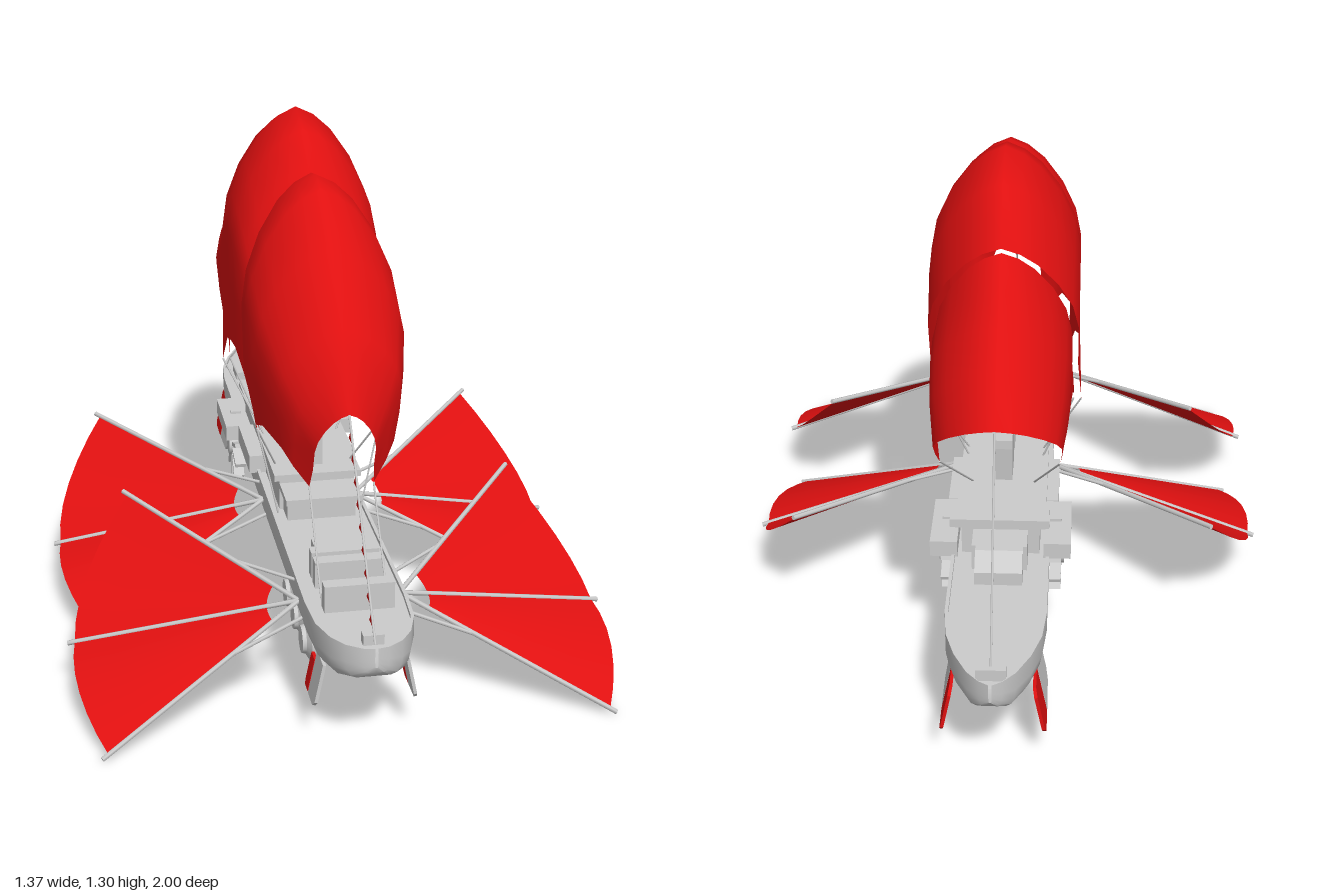
import * as THREE from 'three';
import { toCreasedNormals } from 'three/addons/utils/BufferGeometryUtils.js';

const grey = new THREE.MeshStandardMaterial({ color: 0xcccccc, side: THREE.DoubleSide });
const red = new THREE.MeshStandardMaterial({ color: 0xe01010, side: THREE.DoubleSide });
const V = (x, y, z) => new THREE.Vector3(x, y, z);

export function createModel() {
  const root = new THREE.Group();
  root.name = 'airship';

  const add = (name, geo, mat = grey, parent = root) => {
    const m = new THREE.Mesh(geo, mat);
    m.name = name;
    parent.add(m);
    return m;
  };
  // Box given by its extents
  const box = (name, x0, x1, y0, y1, z0, z1, mat) => {
    const m = add(name, new THREE.BoxGeometry(Math.abs(x1 - x0), y1 - y0, Math.abs(z1 - z0)), mat);
    m.position.set((x0 + x1) / 2, (y0 + y1) / 2, (z0 + z1) / 2);
    return m;
  };
  // Round rod between two points
  const rod = (name, a, b, r) => {
    const m = add(name, new THREE.CylinderGeometry(r, r, a.distanceTo(b), 6));
    m.position.copy(a).lerp(b, 0.5);
    m.quaternion.setFromUnitVectors(V(0, 1, 0), b.clone().sub(a).normalize());
    return m;
  };
  // Surface through rows of points
  const grid = (rows) => {
    const n = rows[0].length, idx = [];
    for (let i = 0; i < rows.length - 1; i++)
      for (let j = 0; j < n - 1; j++) {
        const a = i * n + j, b = a + n;
        idx.push(a, b, a + 1, b, b + 1, a + 1);
      }
    const g = new THREE.BufferGeometry().setFromPoints(rows.flat());
    g.setIndex(idx);
    g.computeVertexNormals();
    return g;
  };
  // Extruded side profile of [z, y] points, centred on x
  const sidePlate = (name, pts, width, x = 0, mat = grey) => {
    const g = new THREE.ExtrudeGeometry(new THREE.Shape(pts.map((p) => new THREE.Vector2(-p[0], p[1]))),
      { depth: width, bevelEnabled: false });
    g.translate(0, 0, -width / 2).rotateY(Math.PI / 2);
    const m = add(name, g, mat);
    m.position.x = x;
    return m;
  };

  // Hull: stations of [z, half width, bottom], with a low rim around the deck
  const stations = [[1, 0.004, 0.26], [0.995, 0.03, 0.245], [0.97, 0.067, 0.222], [0.93, 0.095, 0.207],
    [0.86, 0.118, 0.2], [0.75, 0.125, 0.2], [-0.7, 0.125, 0.2], [-0.8, 0.116, 0.2], [-0.88, 0.092, 0.203],
    [-0.95, 0.058, 0.215], [-0.985, 0.028, 0.24], [-1, 0.004, 0.26]];
  const half = [[0, 0], [0.6, 0], [0.82, 0.07], [0.95, 0.25], [1, 0.5], [1, 1], [0.93, 1]];
  const hullRows = stations.map(([z, w, b]) => {
    const side = half.map(([x, t]) => V(x * w, b + (0.31 - b) * t, z));
    side.push(V(0.93 * w, 0.3, z));
    return [...side, ...side.slice(1).reverse().map((p) => V(-p.x, p.y, p.z)), side[0].clone()];
  });
  add('hull', toCreasedNormals(grid(hullRows), 0.6));

  // Deck houses
  box('mainDeckHouse', -0.1, 0.1, 0.3, 0.385, -0.42, 0.22);
  box('upperDeck', -0.115, 0.115, 0.385, 0.402, -0.44, 0.23);
  box('frontStep', -0.09, 0.09, 0.3, 0.36, 0.22, 0.29);
  box('bridgeRoof', -0.1, 0.1, 0.36, 0.375, 0.22, 0.33);
  box('aftHouse', -0.07, 0.07, 0.3, 0.37, -0.5, -0.42);
  sidePlate('aftWedge', [[-0.48, 0.3], [-0.57, 0.3], [-0.57, 0.335], [-0.52, 0.37], [-0.48, 0.37]], 0.12);
  box('aftLookoutPost', -0.03, 0.03, 0.4, 0.42, -0.46, -0.43);
  box('aftLookout', -0.125, 0.125, 0.418, 0.44, -0.49, -0.415);

  // Funnels with a stepped, sloping top
  for (const z of [0.13, -0.01, -0.17])
    sidePlate('funnel', [[z + 0.045, 0.4], [z + 0.045, 0.49], [z + 0.03, 0.51], [z - 0.02, 0.515],
      [z - 0.02, 0.525], [z - 0.065, 0.525], [z - 0.065, 0.5], [z - 0.055, 0.4]], 0.045);

  // Deck fittings
  for (const z of [0.78, 0.655, 0.6]) box('deckCrate', -0.085, 0.085, 0.3, 0.368, z - 0.018, z + 0.018);
  box('foredeckHatch', -0.06, 0.06, 0.3, 0.335, 0.47, 0.54);
  box('sternWinch', -0.036, 0.036, 0.3, 0.33, -0.97, -0.945);
  box('bowWinch', -0.025, 0.025, 0.3, 0.325, 0.94, 0.965);

  // Keel box
  box('keelNeck', -0.05, 0.05, 0.15, 0.21, -0.51, -0.17);
  box('keelBox', -0.065, 0.065, 0.09, 0.155, -0.535, -0.145);

  // Ballast tanks slung across under the hull
  const tank = [[0.001, -0.105], [0.035, -0.105], [0.037, -0.095], [0.055, -0.085], [0.06, -0.07], [0.06, -0.04],
    [0.055, -0.036], [0.06, -0.032], [0.06, 0.032], [0.055, 0.036], [0.06, 0.04], [0.06, 0.07],
    [0.055, 0.085], [0.037, 0.095], [0.035, 0.105], [0.001, 0.105]].map((p) => new THREE.Vector2(...p));
  for (const z of [0.58, 0.455, 0.33]) {
    const m = add('ballastTank', toCreasedNormals(new THREE.LatheGeometry(tank, 20), 0.6));
    m.rotation.z = Math.PI / 2;
    m.position.set(0, 0.112, z);
    box('tankHanger', -0.05, 0.05, 0.15, 0.21, z - 0.012, z + 0.012);
  }

  // Sails: sections of [top z, top y, bottom z, bottom y, widest, bottom half width]
  const arch = [[0, 0], [0.24, 0.035], [0.47, 0.1], [0.73, 0.22], [0.92, 0.36], [1, 0.5], [1, 0.75], [null, 1]];
  const sail = (name, sections) => {
    const rows = sections.map(([zt, yt, zb, yb, w, wb]) => {
      const side = arch.map(([x, t]) => V(x === null ? wb : x * w, yt + (yb - yt) * t, zt + (zb - zt) * t));
      return [...side.slice(1).reverse().map((p) => V(-p.x, p.y, p.z)), ...side];
    });
    add(name, grid(rows), red);
  };
  sail('frontSail', [[0.65, 0.74, 0.56, 0.52, 0.075, 0.08], [0.605, 0.83, 0.535, 0.565, 0.115, 0.115],
    [0.55, 0.92, 0.51, 0.605, 0.15, 0.14], [0.4, 1.07, 0.4, 0.62, 0.185, 0.17],
    [0.26, 1.18, 0.32, 0.59, 0.192, 0.175], [0.19, 1.2, 0.28, 0.57, 0.192, 0.17], [0.12, 1.185, 0.24, 0.54, 0.19, 0.16]]);
  sail('middleSail', [[0.14, 1.1, 0.24, 0.54, 0.165, 0.155], [0.08, 1.19, 0.15, 0.66, 0.18, 0.18],
    [0, 1.265, 0.05, 0.7, 0.19, 0.19], [-0.12, 1.298, -0.01, 0.695, 0.192, 0.192],
    [-0.25, 1.25, -0.065, 0.685, 0.192, 0.195], [-0.37, 1.13, -0.13, 0.6, 0.19, 0.2]]);
  sail('rearSail', [[-0.35, 1.11, -0.13, 0.6, 0.172, 0.18], [-0.45, 1.055, -0.16, 0.65, 0.175, 0.18],
    [-0.53, 0.995, -0.25, 0.66, 0.175, 0.175], [-0.62, 0.92, -0.36, 0.625, 0.17, 0.165],
    [-0.735, 0.83, -0.46, 0.59, 0.155, 0.15]]);

  // Pennant lines from the sail ends to bow and stern
  const pennants = (name, low, high, inward) => {
    rod(name + 'Line', low, high, 0.003);
    for (let i = 0; i < 9; i++) {
      const a = low.clone().lerp(high, (i + 0.6) / 10), b = low.clone().lerp(high, (i + 1.35) / 10);
      const tip = V(0, a.y, a.z + inward * 0.052);
      add(name + 'Flag', grid([[a, b], [tip, tip.clone().lerp(b, 0.05)]]), red);
    }
  };
  pennants('bowPennant', V(0, 0.31, 0.98), V(0, 0.74, 0.65), -1);
  pennants('sternPennant', V(0, 0.31, -0.96), V(0, 0.83, -0.735), 1);

  // Fan wing: three spars from a hinge with a stretched membrane between them
  const wing = (s, hinge, tips) => {
    const h = V(hinge.x * s, hinge.y, hinge.z);
    const ends = tips.map((t) => V(t.x * s, t.y, t.z));
    ends.forEach((e) => rod('wingSpar', h, e, 0.0065));
    rod('wingBrace', V(0.1 * s, 0.29, h.z - 0.05), h.clone().lerp(ends[0], 0.35), 0.005);
    rod('wingBrace', V(0.1 * s, 0.25, h.z + 0.03), h.clone().lerp(ends[2], 0.35), 0.005);
    [-0.02, 0.025].forEach((bulge, k) => {
      const a = ends[k].clone().sub(h), b = ends[k + 1].clone().sub(h), rows = [];
      for (let i = 0; i <= 6; i++) {
        const u = i / 6, len = a.length() * (1 - u) + b.length() * u;
        const d = a.clone().lerp(b, u).setLength(len * 0.97);
        rows.push([0.14, 0.35, 0.6, 0.8, 1].map((v) => {
          const p = d.clone().multiplyScalar(v).add(h);
          p.y += bulge * Math.sin(Math.PI * u) * v;
          return p;
        }));
      }
      add('wingMembrane', grid(rows), red);
    });
  };

  for (const s of [1, -1]) {
    wing(s, V(0.125, 0.27, 0.67), [V(0.51, 0.385, 0.22), V(0.68, 0.125, 0.525), V(0.625, 0.008, 0.88)]);
    wing(s, V(0.125, 0.27, 0.09), [V(0.54, 0.36, -0.37), V(0.685, 0.125, -0.03), V(0.625, 0.05, 0.335)]);

    // Rigging from sail corners to the deck
    [[0.08, 0.52, 0.56, 0.08, 0.3, 0.73], [0.16, 0.54, 0.24, 0.1, 0.4, 0.15], [0.16, 0.54, 0.24, 0.11, 0.31, 0.26],
      [0.2, 0.6, -0.13, 0.1, 0.4, -0.05], [0.18, 0.6, -0.13, 0.1, 0.4, -0.09],
      [0.15, 0.59, -0.46, 0.08, 0.4, -0.23]]
      .forEach((p) => rod('riggingLine', V(p[0] * s, p[1], p[2]), V(p[3] * s, p[4], p[5]), 0.0025));

    // Paddle wheel and its cover
    const wheel = new THREE.Group();
    wheel.name = 'paddleWheel';
    wheel.position.set(0.14 * s, 0.255, -0.335);
    root.add(wheel);
    add('paddleHub', new THREE.CylinderGeometry(0.03, 0.03, 0.045, 12), grey, wheel).rotation.z = Math.PI / 2;
    for (let i = 0; i < 10; i++) {
      const blade = add('paddleBlade', new THREE.BoxGeometry(0.03, 0.08, 0.011).translate(0, 0.06, 0), grey, wheel);
      blade.rotation.x = (i / 10) * Math.PI * 2;
    }
    box('paddleCover', 0.11 * s, 0.18 * s, 0.305, 0.348, -0.45, -0.24);
    box('sideGallery', 0.1 * s, 0.145 * s, 0.3, 0.35, -0.24, -0.02);

    // Tilted rudders: grey blade with a red trailing flap
    const fin = (name, pts, mat) => {
      const m = sidePlate(name, pts.map(([z, y]) => [z, y - 0.2]), 0.008, 0.1 * s, mat);
      m.position.y = 0.21;
      m.rotation.z = 0.2 * s;
    };
    fin('rearFin', [[-0.65, 0.2], [-0.65, 0.1], [-0.67, 0.075], [-0.785, 0.07], [-0.785, 0.2]], grey);
    fin('rearRudder', [[-0.79, 0.2], [-0.79, 0.07], [-0.87, 0.07], [-0.885, 0.085], [-0.885, 0.18], [-0.87, 0.2]], red);
    fin('frontFin', [[0.885, 0.2], [0.885, 0.1], [0.87, 0.085], [0.81, 0.085], [0.81, 0.2]], grey);
    fin('frontRudder', [[0.805, 0.17], [0.805, 0.085], [0.77, 0.085], [0.765, 0.1], [0.765, 0.17]], red);
  }
  return root;
}
